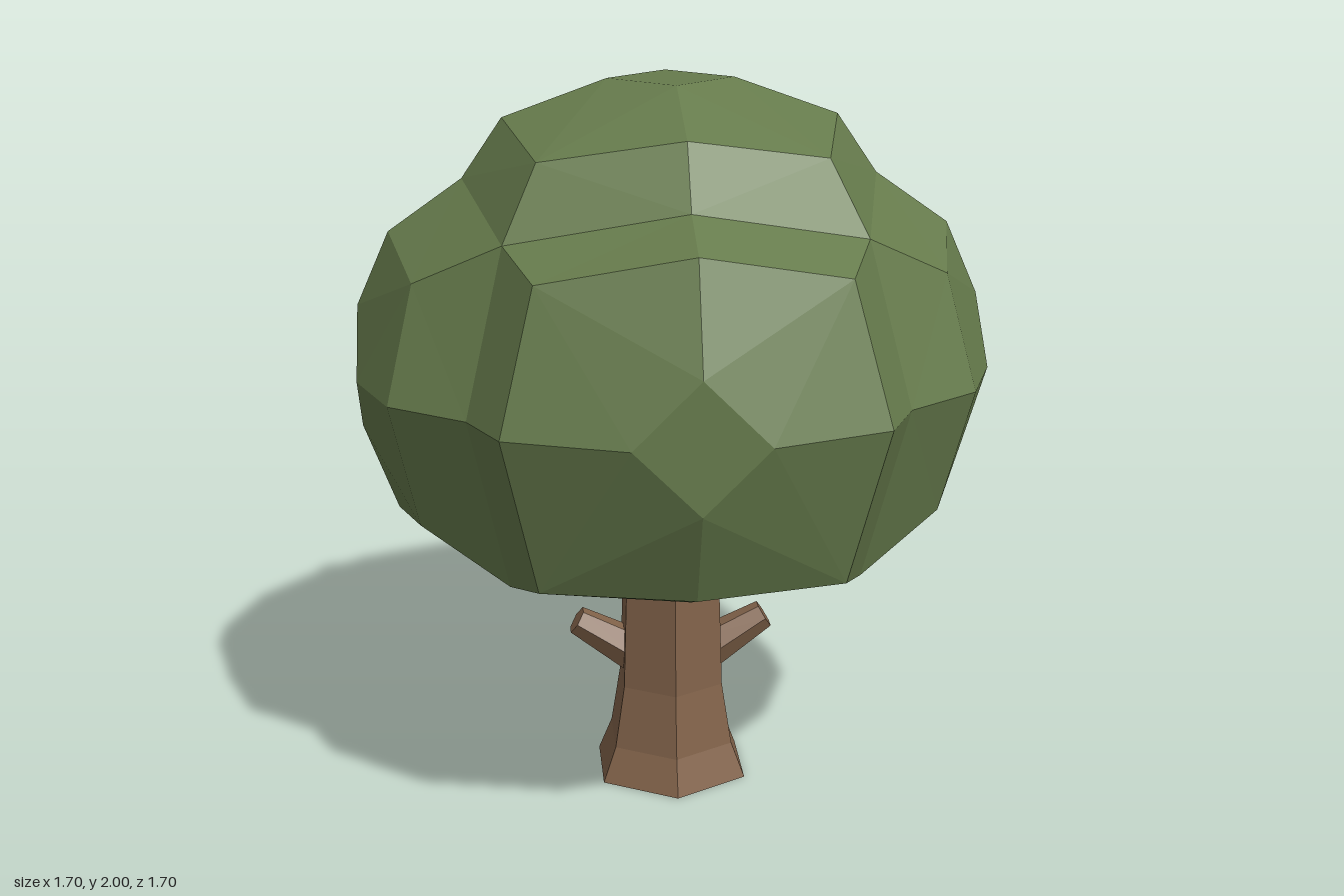
import * as THREE from 'three';

const CENTER_Y = 1.23;

const leafMat = new THREE.MeshStandardMaterial({ color: 0x667b4c, flatShading: true });
leafMat.name = 'leaf green';
const barkMat = new THREE.MeshStandardMaterial({ color: 0x82634a, flatShading: true });
barkMat.name = 'bark brown';

// Points in the valleys between lobes; s holds a sign (-1, 0, 1) for each axis
function valley(s) {
  const corner = s.x && s.y && s.z;
  const r = corner ? 0.46 : 0.56;
  const down = corner ? 0.48 : s.x ? 0.57 : 0.5;
  return new THREE.Vector3(s.x * r, s.y > 0 ? (corner ? 0.42 : 0.51) : s.y * down, s.z * r);
}

// Adds a flat-shaded fan, wound to face away from the canopy centre
function addFan(out, pts) {
  for (let i = 1; i < pts.length - 1; i++) {
    const [a, b, c] = [pts[0], pts[i], pts[i + 1]];
    const n = b.clone().sub(a).cross(c.clone().sub(a));
    const mid = a.clone().add(b).add(c);
    const tri = n.dot(mid) > 0 ? [a, b, c] : [a, c, b];
    tri.forEach((p) => out.push(p.x, p.y, p.z));
  }
}

// One lobe: a central diamond, four broad panels and a bevel down to the valleys
function addLobe(out, n, u, v, o) {
  const at = (h, a, b) =>
    new THREE.Vector3().addScaledVector(n, h).addScaledVector(u, a).addScaledVector(v, b);
  const d = 0.17;
  addFan(out, [at(o.top, d, 0), at(o.top, 0, d), at(o.top, -d, 0), at(o.top, 0, -d)]);
  for (const su of [-1, 1]) for (const sv of [-1, 1]) {
    const ringU = at(o.ringH, su * o.ring, 0);
    const ringV = at(o.ringH, 0, sv > 0 ? o.ringUp : -o.ringDown);
    const diag = at(o.diagH, su * o.diag, sv > 0 ? o.diagUp : -o.diagDown);
    const corner = valley(at(1, su, sv));
    addFan(out, [diag, ringV, at(o.top, 0, sv * d), at(o.top, su * d, 0), ringU]);
    addFan(out, [diag, ringU, valley(at(1, su, 0)), corner]);
    addFan(out, [diag, corner, valley(at(1, 0, sv)), ringV]);
  }
}

function makeCanopy() {
  const X = new THREE.Vector3(1, 0, 0), Y = new THREE.Vector3(0, 1, 0), Z = new THREE.Vector3(0, 0, 1);
  const side = { top: 0.85, ringH: 0.76, diagH: 0.69, ring: 0.41, ringUp: 0.37, ringDown: 0.41,
    diag: 0.33, diagUp: 0.3, diagDown: 0.35 };
  const back = { ...side, diagH: 0.68, ring: 0.42, ringDown: 0.38, diag: 0.35 };
  const front = { top: 0.845, ringH: 0.73, diagH: 0.64, ring: 0.48, ringUp: 0.44, ringDown: 0.43,
    diag: 0.39, diagUp: 0.36, diagDown: 0.43 };
  const crown = { top: 0.77, ringH: 0.67, diagH: 0.61, ring: 0.45, ringUp: 0.45, ringDown: 0.45,
    diag: 0.37, diagUp: 0.37, diagDown: 0.37 };
  const out = [];
  addLobe(out, X, Z, Y, side);
  addLobe(out, X.clone().negate(), Z, Y, side);
  addLobe(out, Z, X, Y, front);
  addLobe(out, Z.clone().negate(), X, Y, back);
  addLobe(out, Y, X, Z, crown);

  // Shallow underside of four panels
  const base = new THREE.Vector3(0, -0.625, 0);
  for (const sx of [-1, 1]) for (const sz of [-1, 1]) {
    addFan(out, [base, valley(new THREE.Vector3(sx, -1, 0)),
      valley(new THREE.Vector3(sx, -1, sz)), valley(new THREE.Vector3(0, -1, sz))]);
  }
  const geo = new THREE.BufferGeometry();
  geo.setAttribute('position', new THREE.Float32BufferAttribute(out, 3));
  geo.computeVertexNormals();
  const mesh = new THREE.Mesh(geo, leafMat);
  mesh.position.y = CENTER_Y;
  mesh.name = 'canopy';
  return mesh;
}

// Six-sided trunk with flared roots
function makeTrunk() {
  const profile = [[0, 0], [0.235, 0], [0.193, 0.1], [0.162, 0.28], [0.15, 0.64], [0, 0.64]]
    .map(([r, y]) => new THREE.Vector2(r, y));
  const mesh = new THREE.Mesh(new THREE.LatheGeometry(profile, 6), barkMat);
  mesh.name = 'trunk';
  return mesh;
}

// Tapered branch stub, mirrored by side
function makeBranch(side) {
  const from = new THREE.Vector3(side * 0.1, 0.357, 0);
  const to = new THREE.Vector3(side * 0.27, 0.46, 0);
  const dir = to.clone().sub(from);
  const mesh = new THREE.Mesh(new THREE.CylinderGeometry(0.041, 0.064, dir.length(), 6), barkMat);
  mesh.position.copy(from).add(to).multiplyScalar(0.5);
  mesh.quaternion.setFromUnitVectors(new THREE.Vector3(0, 1, 0), dir.normalize());
  mesh.name = side > 0 ? 'leftBranch' : 'rightBranch';
  return mesh;
}

export function createModel() {
  const tree = new THREE.Group();
  tree.name = 'tree';
  tree.add(makeTrunk(), makeBranch(1), makeBranch(-1), makeCanopy());
  return tree;
}
